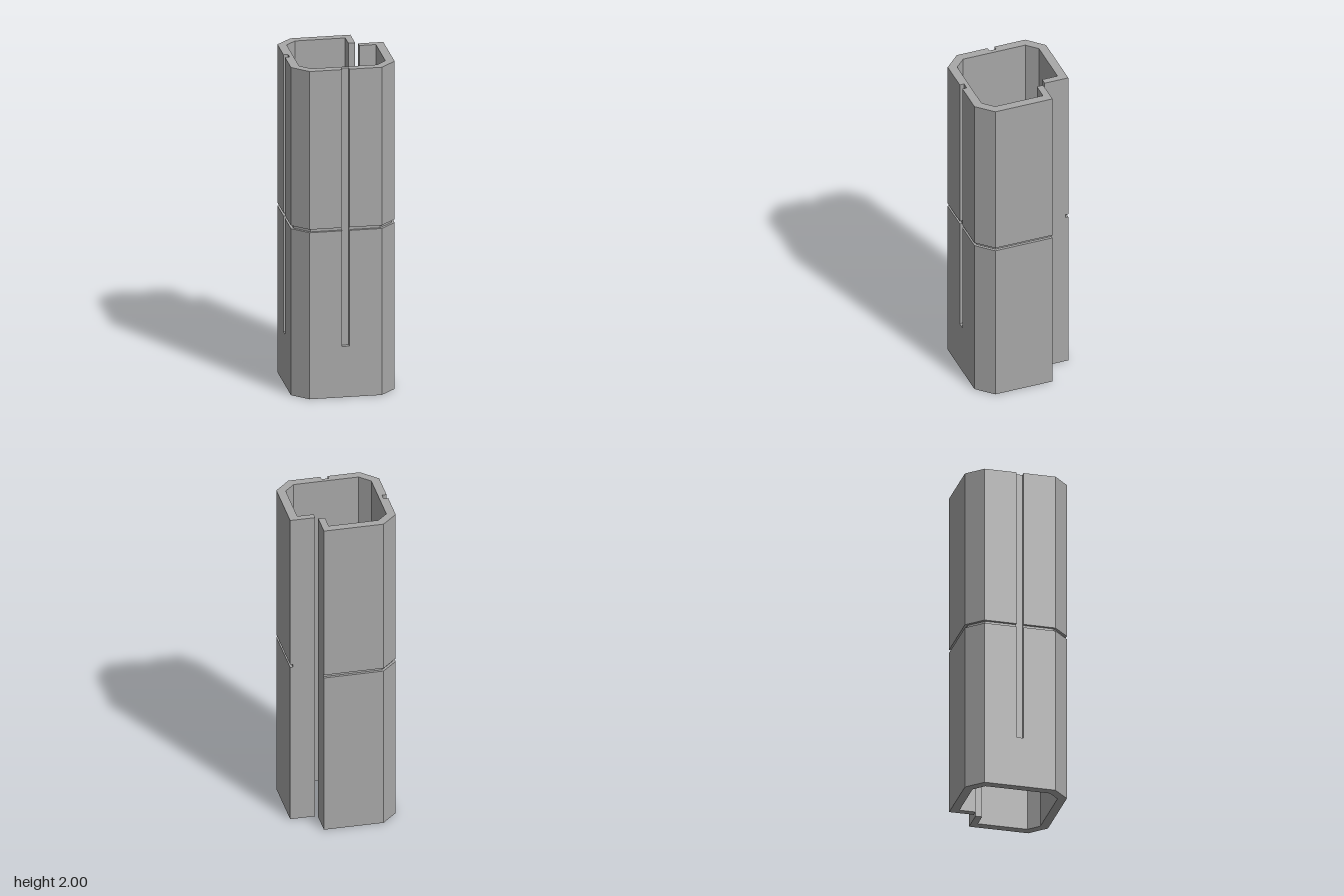
import * as THREE from 'three';

const R = 0.305, CUT = 0.212;        // outer half width, start of corner chamfer
const SLOT = 0.021, SLOT_DEPTH = 0.027;
const GROOVE = 0.016;

// Open C-shaped cross-section as [x, z]; inset shrinks the outside, slot is the slot depth.
function section(inset, slot) {
  const r = R - inset;
  const c = CUT - inset * (Math.SQRT2 - 1);
  const s = slot > 0 ? R - slot : r;
  return [
    // outside, from the back opening round to the right opening
    [0.142, -r], [-c, -r], [-r, -c],
    [-r, -SLOT], [-s, -SLOT], [-s, SLOT], [-r, SLOT],
    [-r, c], [-c, r],
    [-SLOT, r], [-SLOT, s], [SLOT, s], [SLOT, r],
    [c, r], [r, c],
    // right lip
    [r, -0.143], [0.157, -0.143], [0.157, -0.104],
    // inside
    [0.254, -0.104], [0.254, 0.193], [0.193, 0.254], [-0.193, 0.254],
    [-0.254, 0.193], [-0.254, -0.193], [-0.193, -0.254], [0.102, -0.254],
    // back lip
    [0.102, -0.158], [0.142, -0.158],
  ];
}

function columnGeometry() {
  const positions = [];
  const tri = (a, b, c) => {
    const area = new THREE.Triangle(a, b, c).getArea();
    if (area > 1e-8) for (const p of [a, b, c]) positions.push(p.x, p.y, p.z);
  };

  // Heights with their sections; repeated heights make the ledges
  const levels = [
    [0, 0, 0], [0.31, 0, 0],
    [0.31, 0, SLOT_DEPTH], [1.016, 0, SLOT_DEPTH],
    [1.016, GROOVE, SLOT_DEPTH], [1.035, GROOVE, SLOT_DEPTH],
    [1.035, 0, SLOT_DEPTH], [2, 0, SLOT_DEPTH],
  ].map(([y, inset, slot]) => section(inset, slot).map(([x, z]) => new THREE.Vector3(x, y, z)));

  // Walls, slot floors and groove ledges
  for (let k = 0; k < levels.length - 1; k++) {
    const lo = levels[k], hi = levels[k + 1], n = lo.length;
    for (let i = 0; i < n; i++) {
      const j = (i + 1) % n;
      tri(lo[i], lo[j], hi[j]);
      tri(lo[i], hi[j], hi[i]);
    }
  }

  // End caps
  const cap = (ring, up) => {
    const pts = ring.filter((p, i) => i === 0 || p.distanceTo(ring[i - 1]) > 1e-6);
    const flat = pts.map((p) => new THREE.Vector2(p.x, -p.z));
    for (const [a, b, c] of THREE.ShapeUtils.triangulateShape(flat, [])) {
      if (up) tri(pts[a], pts[b], pts[c]);
      else tri(pts[a], pts[c], pts[b]);
    }
  };
  cap(levels[0], false);
  cap(levels[levels.length - 1], true);

  const geometry = new THREE.BufferGeometry();
  geometry.setAttribute('position', new THREE.Float32BufferAttribute(positions, 3));
  geometry.computeVertexNormals();
  return geometry;
}

export function createModel() {
  const grey = new THREE.MeshStandardMaterial({ color: 0xa8a8a8 });
  grey.name = 'grey';
  const column = new THREE.Mesh(columnGeometry(), grey);
  column.name = 'slottedColumn';
  const group = new THREE.Group();
  group.name = 'openColumn';
  group.add(column);
  return group;
}
